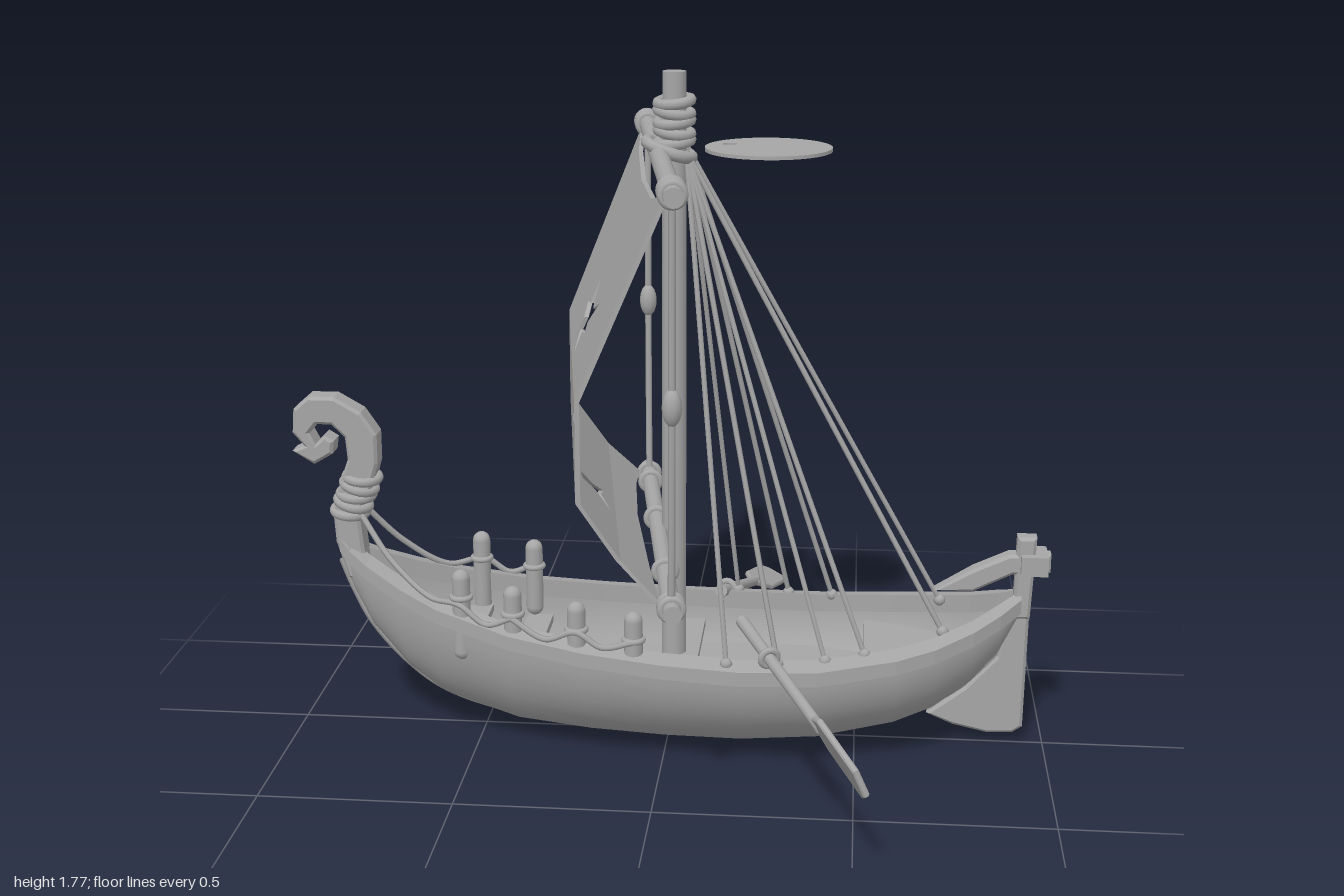
import * as THREE from 'three';

const V = (x, y, z) => new THREE.Vector3(x, y, z);

// Hull stations: x, keel height, rail height, half beam
const STATIONS = [
  [-0.88, 0.46, 0.515, 0.022], [-0.85, 0.38, 0.485, 0.04], [-0.8, 0.28, 0.455, 0.068], [-0.7, 0.165, 0.41, 0.118],
  [-0.6, 0.095, 0.375, 0.16], [-0.4, 0.035, 0.33, 0.218], [-0.2, 0.016, 0.305, 0.255], [0, 0.01, 0.29, 0.278],
  [0.2, 0.01, 0.283, 0.29], [0.4, 0.025, 0.285, 0.282], [0.6, 0.068, 0.307, 0.24], [0.7, 0.108, 0.325, 0.2],
  [0.8, 0.18, 0.352, 0.138], [0.87, 0.26, 0.38, 0.085], [0.925, 0.37, 0.405, 0.03],
];

function station(x) {
  let i = 0;
  while (i < STATIONS.length - 2 && x > STATIONS[i + 1][0]) i++;
  const a = STATIONS[i], b = STATIONS[i + 1], t = (x - a[0]) / (b[0] - a[0]);
  return a.map((v, k) => v + (b[k] - v) * t);
}

// Skin through rows of points
function loft(rows, flat = false) {
  const n = rows[0].length, index = [];
  for (let i = 0; i < rows.length - 1; i++) {
    for (let j = 0; j < n - 1; j++) {
      const a = i * n + j, b = a + 1, c = a + n, d = c + 1;
      index.push(a, c, b, b, c, d);
    }
  }
  let g = new THREE.BufferGeometry().setFromPoints(rows.flat());
  g.setIndex(index);
  if (flat) g = g.toNonIndexed();
  g.computeVertexNormals();
  return g;
}

const shapeOf = (pts) => new THREE.Shape(pts.map((p) => new THREE.Vector2(p[0], p[1])));

// Flat side-profile part, centred on z = 0
function slab(pts, depth, bevel = 0.008) {
  const g = new THREE.ExtrudeGeometry(shapeOf(pts), {
    depth: depth - 2 * bevel, bevelEnabled: bevel > 0, bevelSize: bevel, bevelThickness: bevel, bevelOffset: -bevel, bevelSegments: 1,
  });
  return g.translate(0, 0, -depth / 2 + bevel);
}

function rod(a, b, r0, r1 = r0, sides = 12) {
  const d = b.clone().sub(a);
  const g = new THREE.CylinderGeometry(r1, r0, d.length(), sides);
  g.applyQuaternion(new THREE.Quaternion().setFromUnitVectors(V(0, 1, 0), d.normalize()));
  return g.translate((a.x + b.x) / 2, (a.y + b.y) / 2, (a.z + b.z) / 2);
}

const rope = (pts, r = 0.006) =>
  new THREE.TubeGeometry(new THREE.CatmullRomCurve3(pts), pts.length * 8, r, 6);

// Rope ring around a given axis
function ring(center, axis, R, r) {
  const g = new THREE.TorusGeometry(R, r, 8, 20);
  g.applyQuaternion(new THREE.Quaternion().setFromUnitVectors(V(0, 0, 1), axis.clone().normalize()));
  return g.translate(center.x, center.y, center.z);
}

export function createModel() {
  const model = new THREE.Group();
  const grey = new THREE.MeshStandardMaterial({ color: 0xa6a6a6, side: THREE.DoubleSide });
  grey.name = 'plain grey';
  const add = (name, geometry) => {
    const m = new THREE.Mesh(geometry, grey);
    m.name = name;
    model.add(m);
    return m;
  };

  // Hull shells
  const shell = (inset) => loft(STATIONS.map(([x, k, s, b]) => {
    const row = [], w = Math.max(b - inset, 0.006), depth = Math.max(s - k - inset, 0.01);
    for (let j = 0; j <= 20; j++) {
      const a = (j / 20 - 0.5) * Math.PI;
      row.push(V(x, s - depth * Math.cos(a), w * Math.sin(a)));
    }
    return row;
  }));
  add('hullOutside', shell(0));
  add('hullInside', shell(0.035));
  add('keel', rope(STATIONS.map(([x, k]) => V(x, k + 0.004, 0)), 0.013));

  // Rails along both sides
  for (const s of [1, -1]) {
    add('rail', loft(STATIONS.map(([x, , y, b]) => {
      const o = b + 0.012, i = Math.max(b - 0.045, 0.002);
      return [[o, -0.022], [o, 0.016], [i, 0.028], [i, -0.022], [o, -0.022]].map(([z, dy]) => V(x, y + dy, s * z));
    }), true));
  }

  // Floor, end decks and benches fitted to the inside of the hull
  const deck = (name, x0, x1, y) => {
    const side = [];
    for (let i = 0; i <= 16; i++) {
      const x = x0 + (x1 - x0) * i / 16, [, k, s, b] = station(x);
      const f = Math.min(1, Math.max(0, s - y) / Math.max(s - k - 0.03, 0.01));
      side.push([x, Math.max(0.004, (b - 0.03) * Math.sqrt(1 - f * f))]);
    }
    const outline = [...side, ...side.map(([x, z]) => [x, -z]).reverse()];
    const g = new THREE.ExtrudeGeometry(shapeOf(outline), { depth: 0.02, bevelEnabled: false });
    add(name, g.rotateX(Math.PI / 2).translate(0, y, 0));
  };
  deck('floor', -0.62, 0.72, 0.17);
  deck('foreDeck', -0.8, -0.5, 0.29);
  deck('aftDeck', 0.52, 0.86, 0.25);
  deck('bench', -0.41, -0.34, 0.25);
  deck('bench', 0.0, 0.08, 0.23);

  // Stem with curled head
  add('stemScroll', slab([
    [-0.8, 0.4], [-0.86, 0.42], [-0.89, 0.52], [-0.895, 0.6], [-0.875, 0.68], [-0.85, 0.75], [-0.855, 0.81], [-0.89, 0.845],
    [-0.93, 0.845], [-0.95, 0.82], [-0.935, 0.79], [-0.91, 0.815], [-0.885, 0.8], [-0.89, 0.765], [-0.94, 0.735],
    [-0.998, 0.77], [-0.965, 0.785], [-0.995, 0.82], [-0.99, 0.885], [-0.95, 0.92], [-0.88, 0.92], [-0.81, 0.88],
    [-0.77, 0.82], [-0.77, 0.74], [-0.79, 0.67], [-0.825, 0.6], [-0.815, 0.5],
  ], 0.07));
  for (let i = 0; i < 5; i++) {
    add('stemLashing', ring(V(-0.855 + i * 0.009, 0.6 + i * 0.024, 0), V(i % 2 ? 0.3 : 0.1, 1, 0.1), 0.043, 0.013));
  }

  // Rudder, post and tiller
  add('rudderBlade', slab([
    [0.95, 0.42], [0.945, 0.05], [0.92, 0.033], [0.85, 0.03], [0.76, 0.05], [0.69, 0.08], [0.79, 0.16], [0.87, 0.25], [0.905, 0.42],
  ], 0.032));
  add('sternPost', slab([[0.905, 0.36], [0.95, 0.36], [0.96, 0.585], [0.91, 0.585]], 0.05));
  add('tiller', slab([
    [0.7, 0.432], [0.8, 0.432], [0.9, 0.482], [0.998, 0.49], [0.998, 0.54], [0.89, 0.537], [0.8, 0.495],
  ], 0.05));
  add('tillerHead', new THREE.BoxGeometry(0.07, 0.052, 0.095).translate(0.955, 0.514, 0));

  // Mast and its lashings
  add('mast', rod(V(0.013, 0.1, 0), V(0.013, 1.775, 0), 0.033, 0.03, 16));
  for (let i = 0; i < 5; i++) add('mastLashing', ring(V(0.013, 1.6 + i * 0.025, 0), V(i % 2 ? 0.15 : -0.1, 1, 0.1), 0.042, 0.014));
  add('yardLoop', ring(V(0, 1.58, 0), V(0.35, 1, 0), 0.06, 0.016));

  // Yards
  const yardX = (z) => -0.028 + 0.15 * z, along = V(0.15, 0, 1);
  const onYard = (z, y) => V(yardX(z), y, z);
  add('upperYard', rod(onYard(-0.625, 1.57), onYard(0.655, 1.57), 0.024));
  add('lowerYard', rod(onYard(-0.555, 0.57), onYard(0.615, 0.57), 0.023));
  for (const [z, y] of [[0.61, 1.57], [0.585, 1.57], [0.55, 1.57], [-0.52, 1.57], [-0.555, 1.57], [-0.585, 1.57],
    [0.575, 0.57], [0.545, 0.57], [0.31, 0.57], [-0.1, 0.57], [-0.42, 0.57], [-0.5, 0.57]]) {
    add('yardLashing', ring(onYard(z, y), along, 0.026, 0.01));
  }

  // Sail: flat bands folded along level lines, with torn holes
  const BELLY = [[0.55, 0.0], [0.68, 0.12], [0.82, 0.215], [1.07, 0.215], [1.57, 0.0]];
  const belly = (y) => {
    let i = 0;
    while (i < BELLY.length - 2 && y > BELLY[i + 1][0]) i++;
    const [a, b] = [BELLY[i], BELLY[i + 1]];
    return a[1] + (b[1] - a[1]) * (y - a[0]) / (b[0] - a[0]);
  };
  const oval = [];
  for (let i = 0; i < 12; i++) oval.push([0.455 + 0.02 * Math.cos(i * Math.PI / 6), 1.025 + 0.032 * Math.sin(i * Math.PI / 6)]);
  const star = [[0.225, 1.23], [0.15, 1.2], [0.12, 1.205], [0.03, 1.255], [0.04, 1.19], [-0.03, 1.18], [0.03, 1.15],
    [0.02, 1.09], [0.065, 1.125], [0.14, 1.085], [0.12, 1.135], [0.19, 1.145], [0.15, 1.165]];
  const slit = [[0.3, 0.805], [0.265, 0.812], [0.225, 0.765], [0.155, 0.725], [0.215, 0.735], [0.24, 0.7], [0.245, 0.755]];
  const bands = [
    [[[0.555, 0.58], [0.35, 0.595], [0, 0.61], [-0.3, 0.6], [-0.485, 0.58], [-0.42, 0.68], [0.55, 0.68]]],
    [[[0.55, 0.68], [-0.42, 0.68], [-0.385, 0.82], [0.555, 0.82]], slit],
    [[[0.555, 0.82], [-0.385, 0.82], [-0.39, 1.07], [0.56, 1.07]], oval],
    [[[0.56, 1.07], [-0.39, 1.07], [-0.545, 1.555], [-0.35, 1.52], [0, 1.5], [0.35, 1.515], [0.56, 1.56]], star],
  ];
  for (const [outline, hole] of bands) {
    const shape = shapeOf(outline);
    if (hole) shape.holes.push(shapeOf(hole));
    const g = new THREE.ExtrudeGeometry(shape, { depth: 0.012, bevelEnabled: false });
    const p = g.attributes.position;
    for (let i = 0; i < p.count; i++) {
      const z = p.getX(i), y = p.getY(i), d = p.getZ(i);
      p.setXYZ(i, yardX(z) - belly(y) - d, y, z);
    }
    g.computeVertexNormals();
    add('sail', g);
  }

  // Ropes between the yard ends, each with a knot
  for (const [z0, z1, z2] of [[0.59, 0.585, 0.57], [-0.56, -0.535, -0.49]]) {
    add('sheetRope', rope([onYard(z0, 1.57), onYard(z1, 1.3), onYard(z1, 1.07), onYard(z1 + (z2 - z1) * 0.4, 0.8), onYard(z2, 0.57)], 0.009));
    const knot = new THREE.SphereGeometry(0.024, 10, 8).scale(1, 1.9, 1);
    add('sheetKnot', knot.translate(yardX(z1), 1.07, z1));
  }

  // Stays from the masthead to the rails
  for (const [x, z] of [[0.72, 0.115], [0.72, -0.115], [0.52, 0.21], [0.43, -0.24], [0.42, 0.235], [0.31, -0.26],
    [0.3, 0.26], [0.17, 0.27], [0.17, -0.27]]) {
    const foot = V(x, station(x)[2] + 0.025, z);
    add('stay', rod(V(0.045, 1.58, Math.sign(z) * 0.025), foot, 0.007, 0.007, 6));
    add('stayKnot', new THREE.SphereGeometry(0.016, 8, 6).translate(foot.x, foot.y, foot.z));
  }

  // Masthead disc with a small hole
  const disc = new THREE.Shape().absarc(0.25, 0, 0.16, 0, Math.PI * 2);
  disc.holes.push(new THREE.Path().absarc(0.15, 0.04, 0.018, 0, Math.PI * 2, true));
  add('mastheadDisc', new THREE.ExtrudeGeometry(disc, { depth: 0.009, bevelEnabled: false, curveSegments: 32 })
    .rotateX(-Math.PI / 2).translate(0, 1.58, 0));

  // Rounded mooring posts and draped ropes
  const post = (x, z, top) => {
    add('mooringPost', new THREE.CapsuleGeometry(0.024, top - 0.3, 4, 12).translate(x, (top + 0.252) / 2, z));
    add('postLashing', ring(V(x, top - 0.075, z), V(0, 1, 0), 0.024, 0.008));
  };
  const posts = [[-0.53, 0.16, 0.5], [-0.39, 0.19, 0.47], [-0.22, 0.22, 0.445], [-0.07, 0.24, 0.43]];
  posts.forEach(([x, z, t], i) => {
    post(x, z, t);
    if (i < 2) post(x, -z + 0.015, t);
  });
  for (const s of [1, -1]) {
    add('drapedRope', rope([V(-0.82, 0.6, s * 0.03), V(-0.73, 0.49, s * 0.08), V(-0.62, 0.41, s * 0.13), V(-0.53, 0.41, s * 0.185),
      V(-0.46, 0.365, s * 0.2), V(-0.39, 0.39, s * 0.215)], 0.008));
  }
  add('drapedRope', rope([V(-0.39, 0.39, 0.215), V(-0.3, 0.345, 0.235), V(-0.22, 0.37, 0.245), V(-0.15, 0.335, 0.255), V(-0.07, 0.355, 0.265)], 0.008));

  // Oars: tapered shaft and a flat blade turned about the shaft
  const oar = (a, b, face) => {
    const dir = b.clone().sub(a), len = dir.length();
    dir.normalize();
    const group = new THREE.Group();
    group.name = 'oar';
    const blade = slab([[-0.012, 0], [-0.045, 0.07], [-0.055, 0.27], [-0.03, 0.3], [0.04, 0.285], [0.05, 0.07], [0.012, 0]], 0.016, 0.004);
    const parts = [['oarShaft', new THREE.CylinderGeometry(0.014, 0.017, len - 0.26, 10).translate(0, (len - 0.26) / 2, 0)],
      ['oarBlade', blade.translate(0, len - 0.3, 0)]];
    for (const [name, g] of parts) {
      const m = new THREE.Mesh(g, grey);
      m.name = name;
      group.add(m);
    }
    const side = face.clone().cross(dir).normalize().negate();
    group.applyMatrix4(new THREE.Matrix4().makeBasis(side, dir, side.clone().cross(dir)).setPosition(a));
    model.add(group);
  };
  oar(V(0.2, 0.36, 0.1), V(0.52, 0.255, 0.835), V(1, 0.35, 0));
  oar(V(0.125, 0.32, -0.22), V(0.255, 0.145, -0.845), V(0.4, 1, 0));
  add('oarLashing', ring(V(0.28, 0.335, 0.285), V(0.33, -0.1, 0.74), 0.022, 0.009));
  add('oarLashing', ring(V(0.137, 0.305, -0.28), V(0.13, -0.17, -0.62), 0.022, 0.009));

  return model;
}
